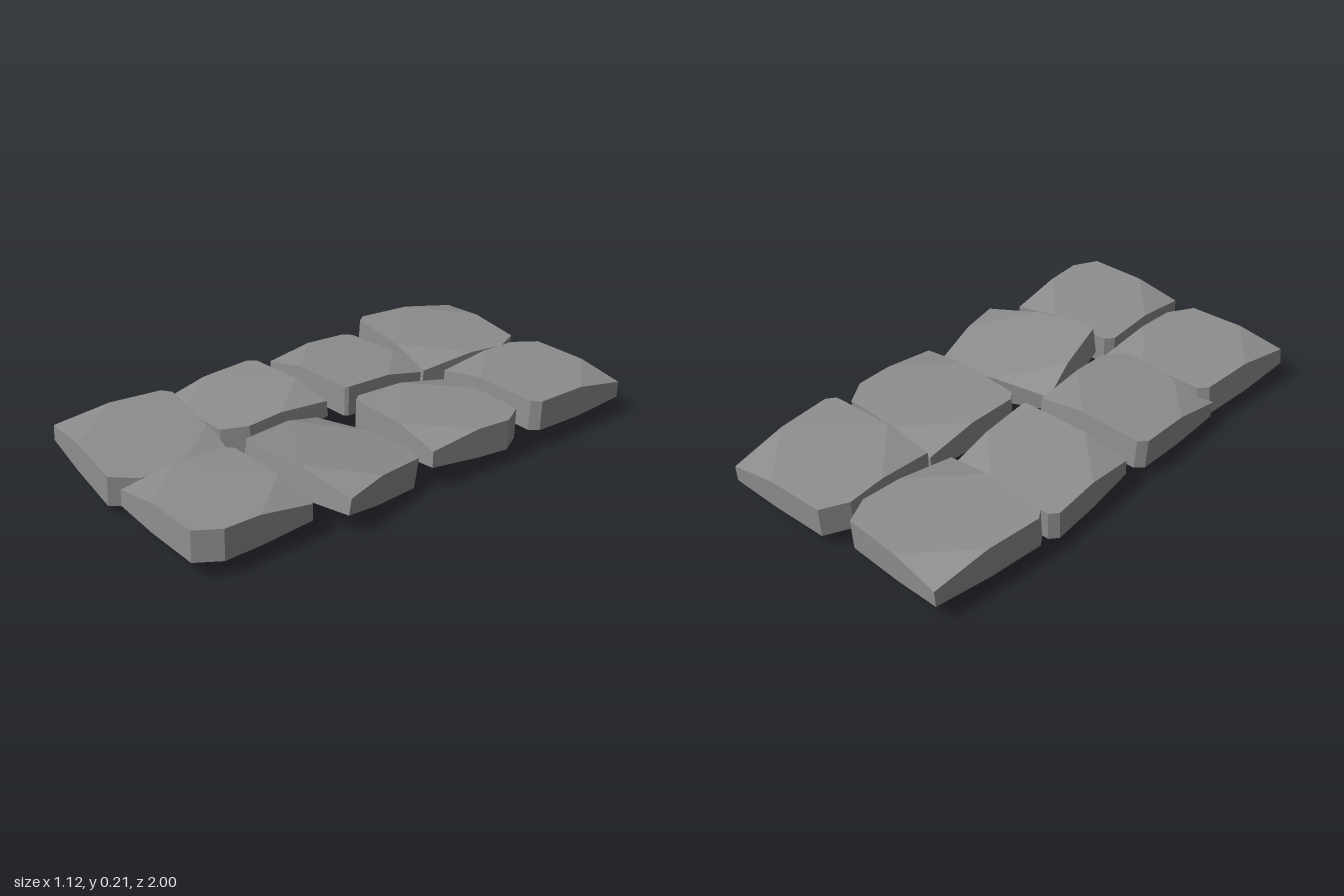
import * as THREE from 'three';
import { ConvexGeometry } from 'three/addons/geometries/ConvexGeometry.js';

// Rough slab with unit half-sizes: [x, y, z]. One wide cut corner (+x+z),
// a small cut opposite it, and two thinned corners between them.
function slabPoints(cut) {
  const points = [];
  const wall = (x, z, top, bottom) => points.push([x, top, z], [x, bottom, z]);
  wall(1, 1 - cut * 1.7, 0.08, -0.042);   // wide cut corner
  wall(1 - cut, 1, 0.08, -0.042);
  wall(-1, 1, 0.045, -0.02);              // thinned corner
  wall(-1, 0.05, 0.08, -0.042);           // edge breaks beside it
  wall(-0.2, 1, 0.08, -0.038);
  wall(-1, -0.86, 0.075, -0.045);         // small cut corner
  wall(-0.88, -1, 0.075, -0.045);
  wall(1, -1, 0.045, -0.02);              // thinned corner
  wall(1, -0.05, 0.08, -0.038);           // edge breaks beside it
  wall(0.2, -1, 0.08, -0.042);
  points.push([0.7, -0.064, 0.6], [-0.68, -0.078, -0.68]); // ridge of the belly
  return points;
}

// Mirror the slab by fx and fz, turn it, tip it so it rises by sx along x
// and sz along z, then move it into place
function stone({ x, z, y, w, d, fx, fz, turn, sx, sz, cut = 0.24 }) {
  const up = new THREE.Vector3(0, 1, 0);
  const tilt = new THREE.Quaternion().setFromUnitVectors(up, new THREE.Vector3(-sx, 1, -sz).normalize());
  return new ConvexGeometry(slabPoints(cut).map(([px, py, pz]) =>
    new THREE.Vector3(px * fx * w / 2, py, pz * fz * d / 2)
      .applyAxisAngle(up, turn)
      .applyQuaternion(tilt)
      .add(new THREE.Vector3(x, y, z))));
}

const STONES = [
  { x: -0.284, z: -0.717, y: 0.11, w: 0.51, d: 0.495, fx: 1, fz: -1, turn: -0.1, sx: -0.04, sz: 0.04 },
  { x: 0.255, z: -0.747, y: 0.115, w: 0.495, d: 0.485, fx: -1, fz: -1, turn: 0.04, sx: 0.02, sz: 0.06 },
  { x: -0.3, z: -0.245, y: 0.097, w: 0.475, d: 0.42, fx: 1, fz: 1, turn: 0.05, sx: 0.04, sz: 0.06, cut: 0.04 },
  { x: 0.262, z: -0.245, y: 0.108, w: 0.495, d: 0.455, fx: 1, fz: -1, turn: -0.03, sx: 0.02, sz: 0.05 },
  { x: -0.29, z: 0.275, y: 0.1, w: 0.48, d: 0.46, fx: 1, fz: 1, turn: 0.03, sx: 0.04, sz: -0.06 },
  { x: -0.267, z: 0.737, y: 0.09, w: 0.52, d: 0.48, fx: 1, fz: 1, turn: -0.07, sx: -0.09, sz: 0.01 },
  { x: 0.26, z: 0.264, y: 0.096, w: 0.445, d: 0.5, fx: 1, fz: 1, turn: 0.26 + Math.PI / 2, sx: -0.03, sz: 0.15, cut: 0.18 },
  { x: 0.255, z: 0.757, y: 0.102, w: 0.485, d: 0.46, fx: 1, fz: 1, turn: 0.03, sx: 0.01, sz: 0.03 },
];

export function createModel() {
  const model = new THREE.Group();
  model.name = 'stonePaving';
  const material = new THREE.MeshStandardMaterial({ color: 0x8e8e8e, flatShading: true });
  STONES.forEach((params, i) => {
    const mesh = new THREE.Mesh(stone(params), material);
    mesh.name = `pavingStone${i + 1}`;
    model.add(mesh);
  });
  // Rest the lowest stone on the ground
  const lowest = new THREE.Box3().setFromObject(model).min.y;
  model.children.forEach((mesh) => mesh.geometry.translate(0, -lowest, 0));
  return model;
}
